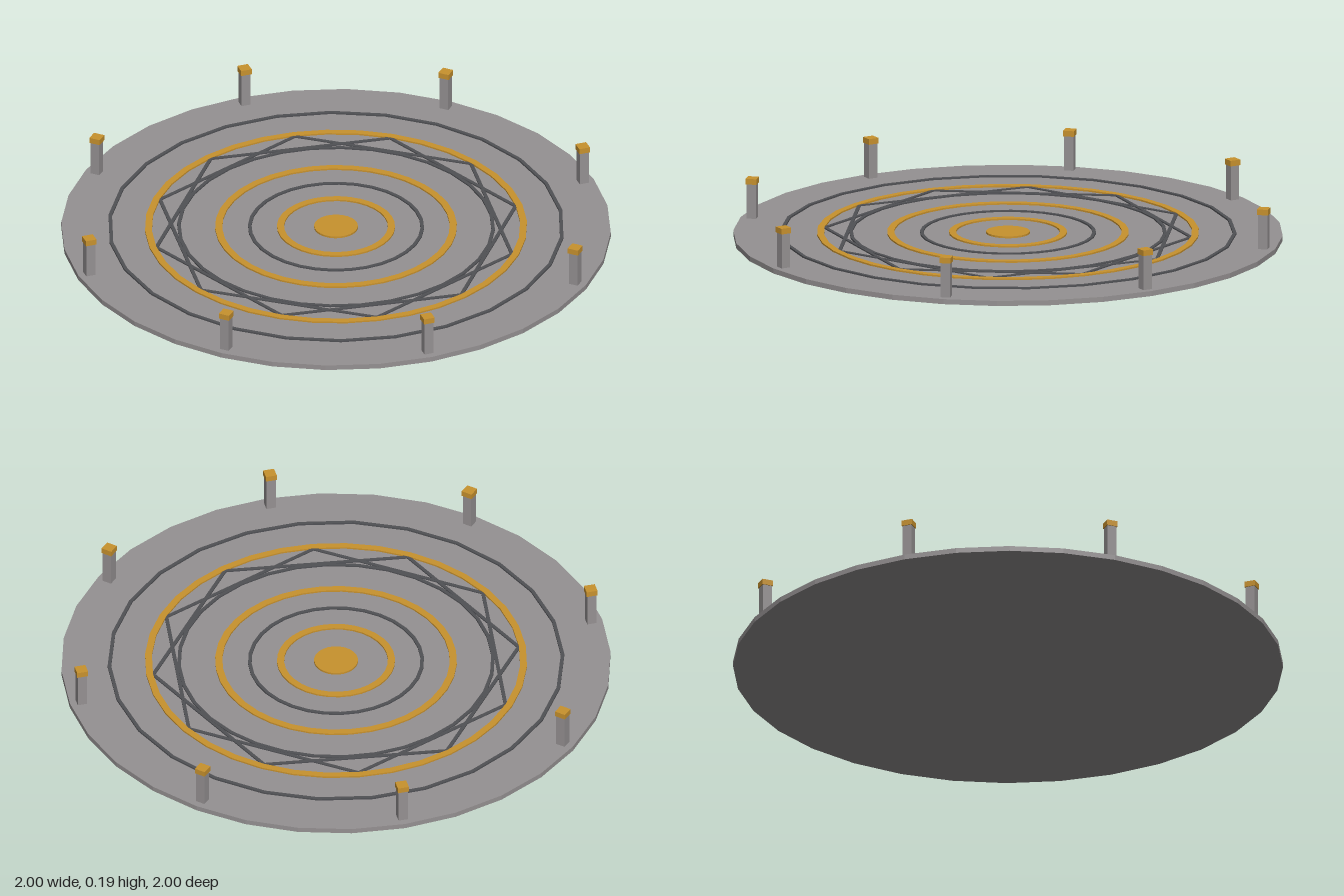
import * as THREE from 'three';

const stone = new THREE.MeshStandardMaterial({ color: 0x959192 });
stone.name = 'grey stone';
const dark = new THREE.MeshStandardMaterial({ color: 0x505155 });
dark.name = 'dark inlay';
const gold = new THREE.MeshStandardMaterial({ color: 0xc8922e });
gold.name = 'gold';

const TOP = 0.045;

function add(parent, name, geometry, material) {
  const mesh = new THREE.Mesh(geometry, material);
  mesh.name = name;
  parent.add(mesh);
  return mesh;
}

// Faceted solid of revolution from [radius, height] pairs
function turned(points, sides) {
  const g = new THREE.LatheGeometry(points.map(([r, y]) => new THREE.Vector2(r, y)), sides).toNonIndexed();
  g.computeVertexNormals();
  return g;
}

// Flat raised band lying on the platform
function band(radius, width, top, sides) {
  const a = radius - width / 2, b = radius + width / 2, y = TOP - 0.004;
  return turned([[b, y], [b, top], [a, top], [a, y]], sides);
}

export function createModel() {
  const model = new THREE.Group();
  model.name = 'ritualPlatform';

  // Disc with a shallow, bevelled underside
  add(model, 'platform', turned([[0, 0], [0.93, 0.015], [1, 0.026], [1, TOP], [0, TOP]], 32), stone);

  // Concentric inlaid rings: radius, width, top, sides, material
  [
    [0.825, 0.013, 0.051, 26, dark],
    [0.683, 0.025, 0.051, 36, gold],
    [0.572, 0.013, 0.05, 32, dark],
    [0.427, 0.026, 0.051, 36, gold],
    [0.314, 0.013, 0.05, 32, dark],
    [0.202, 0.026, 0.051, 32, gold],
  ].forEach(([r, w, top, sides, mat]) =>
    add(model, mat === gold ? 'goldRing' : 'darkRing', band(r, w, top, sides), mat));

  // Centre medallion
  add(model, 'medallion', turned([[0.08, TOP - 0.004], [0.08, 0.052], [0, 0.052]], 24), gold);

  // Two interlaced hexagons made of thin bars
  const star = new THREE.Group();
  star.name = 'star';
  model.add(star);
  const R = 0.67;
  for (let i = 0; i < 12; i++) {
    const a = (i * Math.PI) / 6;
    const bar = add(star, 'starBar', new THREE.BoxGeometry(R, 0.007, 0.013), dark);
    const d = R * Math.cos(Math.PI / 6);
    bar.position.set(Math.sin(a) * d, TOP + 0.0005 + (i % 2) * 0.0006, Math.cos(a) * d);
    bar.rotation.y = a;
  }

  // Eight posts with gold caps around the rim
  for (let i = 0; i < 8; i++) {
    const a = ((i + 0.5) * Math.PI) / 4;
    const post = new THREE.Group();
    post.name = 'post';
    post.position.set(Math.sin(a) * 0.957, 0, Math.cos(a) * 0.957);
    post.rotation.y = a;
    add(post, 'postShaft', new THREE.BoxGeometry(0.035, 0.14, 0.035), stone).position.y = 0.107;
    add(post, 'postCap', new THREE.BoxGeometry(0.041, 0.021, 0.041), gold).position.y = 0.184;
    model.add(post);
  }

  return model;
}
